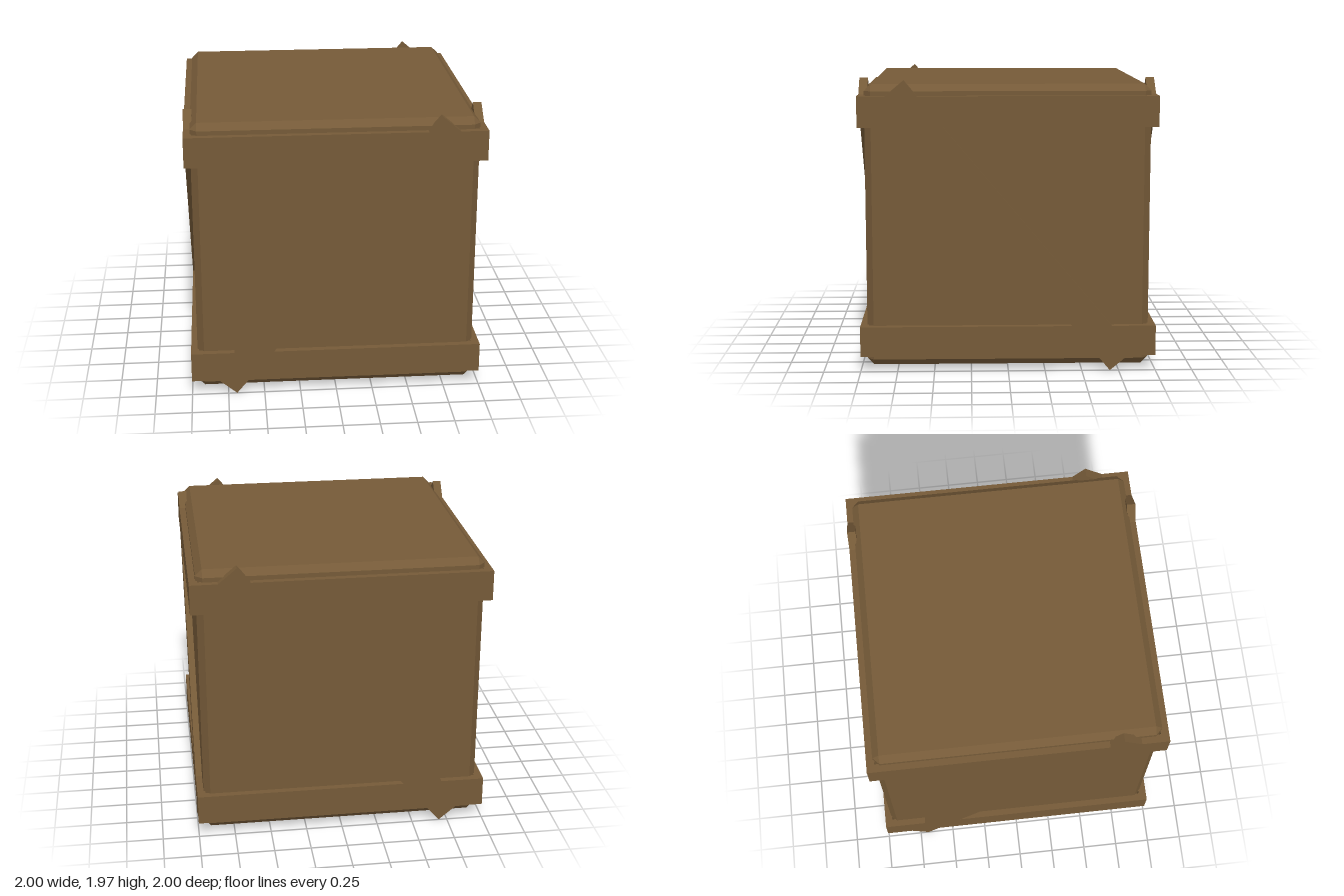
import * as THREE from 'three';
import { ConvexGeometry } from 'three/addons/geometries/ConvexGeometry.js';

const MID = 0.985; // height of the crate's centre

// Box with flat chamfers on every edge and triangular corners
function chamferedBox(h, c) {
  const points = [];
  for (const x of [-1, 1]) for (const y of [-1, 1]) for (const z of [-1, 1]) {
    for (let flat = 0; flat < 3; flat++) {
      const r = [h - c, h - c, h - c];
      r[flat] = h;
      points.push(new THREE.Vector3(x * r[0], y * r[1], z * r[2]));
    }
  }
  return new ConvexGeometry(points);
}

// Square frame lying flat around the crate, centred on its height
function squareRing(outer, inner, height) {
  const square = (r) => [[-r, -r], [r, -r], [r, r], [-r, r]].map(([x, y]) => new THREE.Vector2(x, y));
  const shape = new THREE.Shape(square(outer));
  shape.holes.push(new THREE.Path(square(inner)));
  return new THREE.ExtrudeGeometry(shape, { depth: height, bevelEnabled: false })
    .translate(0, 0, -height / 2)
    .rotateX(-Math.PI / 2);
}

export function createModel() {
  const group = new THREE.Group();
  group.name = 'crate';
  const wood = new THREE.MeshStandardMaterial({ color: 0x755a38 });
  wood.name = 'brown wood';

  const add = (name, geometry, x, y, z) => {
    const mesh = new THREE.Mesh(geometry, wood);
    mesh.name = name;
    mesh.position.set(x, y, z);
    group.add(mesh);
    return mesh;
  };

  // Body
  add('body', chamferedBox(0.956, 0.045), 0, MID, 0);

  // Bands around the top and bottom
  const band = squareRing(1, 0.945, 0.206);
  add('bottomBand', band, 0, 0.207, 0);
  add('topBand', band, 0, 1.763, 0);

  // Diagonal braces, flush with the bands; square ends poke past them
  const tilt = THREE.MathUtils.degToRad(50);
  const brace = new THREE.BoxGeometry(2.396, 0.207, 0.058).rotateZ(tilt);
  const sideBrace = brace.clone().rotateY(-Math.PI / 2); // rises towards the front
  const out = 0.971;
  add('frontBrace', brace, 0, MID, out);
  add('backBrace', brace, 0, MID, -out);
  add('leftBrace', sideBrace, out, MID, 0);
  add('rightBrace', sideBrace, -out, MID, 0);

  return group;
}
